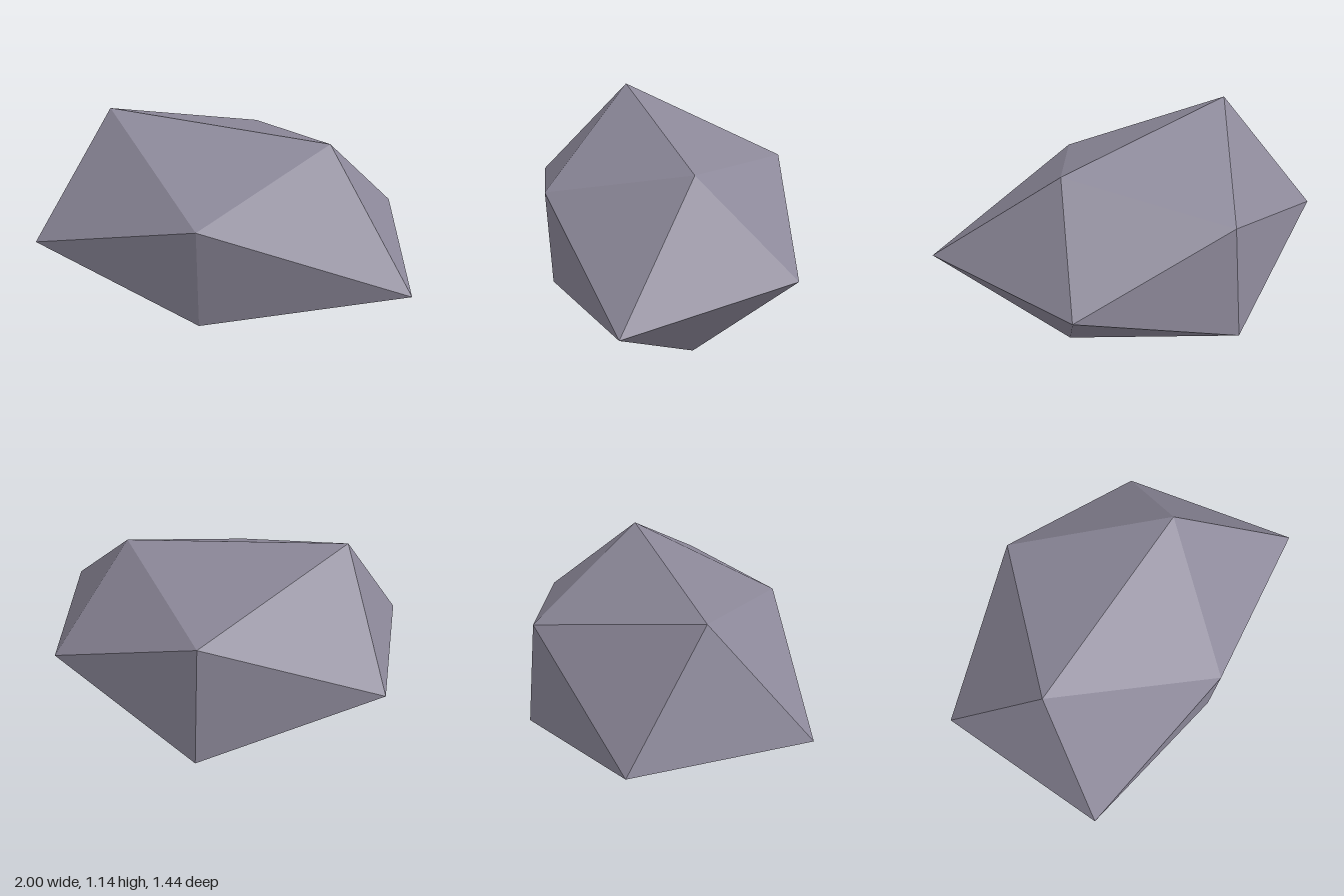
import * as THREE from 'three';

// Irregular faceted rock: an icosahedron with its corners pushed out of true.
export function createModel() {
  const group = new THREE.Group();

  // Corners in pairs, each pair spanning one short edge
  const corners = [
    [-0.71, 1.14, 0.07], [0.5, 1.05, 0.07], // top ridge
    [-0.52, 0.09, 0.07], [0.5, 0, 0.07], // bottom ridge
    [-0.05, 0.25, 0.71], [-0.05, 0.81, 0.72], // front edge
    [-0.05, 0.19, -0.72], [-0.05, 0.84, -0.65], // back edge
    [0.81, 0.53, -0.38], [1, 0.53, 0.61], // left edge
    [-0.98, 0.53, -0.41], [-1, 0.53, 0.55], // right edge
  ];

  // Icosahedron faces, counter-clockwise from outside
  const faces = [
    0, 11, 5, 0, 5, 1, 0, 1, 7, 0, 7, 10, 0, 10, 11,
    1, 5, 9, 5, 11, 4, 11, 10, 2, 10, 7, 6, 7, 1, 8,
    3, 9, 4, 3, 4, 2, 3, 2, 6, 3, 6, 8, 3, 8, 9,
    4, 9, 5, 2, 4, 11, 6, 2, 10, 8, 6, 7, 9, 8, 1,
  ];

  const indexed = new THREE.BufferGeometry();
  indexed.setAttribute('position', new THREE.Float32BufferAttribute(corners.flat(), 3));
  indexed.setIndex(faces);
  const geometry = indexed.toNonIndexed();
  geometry.computeVertexNormals();

  const rock = new THREE.Mesh(
    geometry,
    new THREE.MeshStandardMaterial({ color: 0x8c8899, flatShading: true })
  );
  rock.name = 'rock';
  group.add(rock);
  return group;
}
